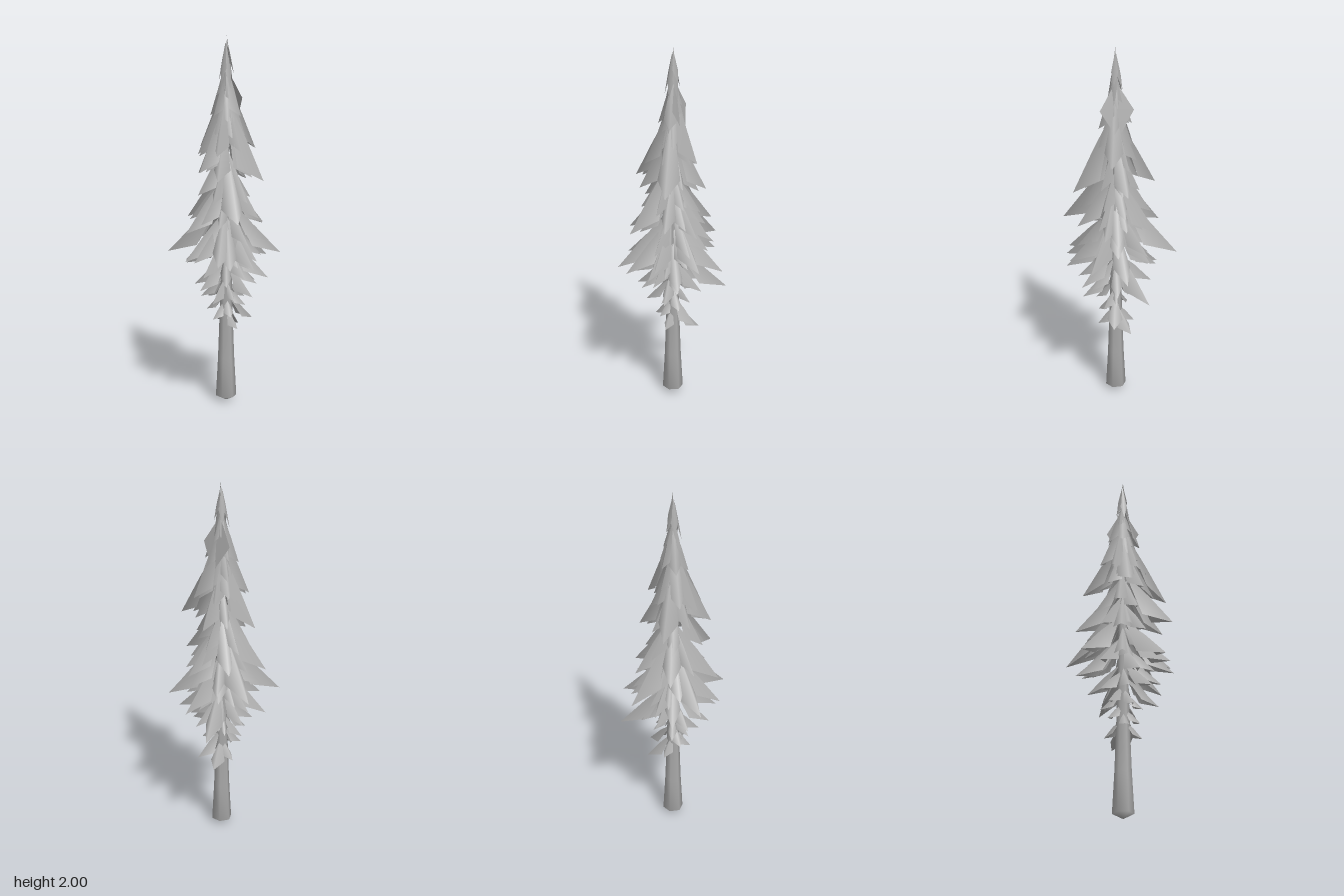
import * as THREE from 'three';
import { mergeVertices } from 'three/addons/utils/BufferGeometryUtils.js';

const AXIS = { x: -0.01, z: 0.02 };

// Small seeded generator for the irregular boughs
function seeded(seed) {
  return () => {
    seed = (seed * 16807) % 2147483647;
    return seed / 2147483647;
  };
}

// Folded kite: a ridge from root to tip, with two sides hanging below it.
// lift is the height of the side corners as a fraction from tip to root.
function bladeGeometry(root, tip, halfWidth, lift) {
  const along = tip.clone().sub(root);
  const out = new THREE.Vector3(along.x, 0, along.z).normalize();
  const side = new THREE.Vector3(-out.z, 0, out.x);
  const ridge = root.clone().addScaledVector(along, 0.5);
  ridge.y += 0.01;
  const low = root.clone().addScaledVector(along, 0.45);
  low.y = THREE.MathUtils.lerp(tip.y, root.y, lift);
  const left = low.clone().addScaledVector(side, halfWidth);
  const right = low.clone().addScaledVector(side, -halfWidth);
  const geo = new THREE.BufferGeometry().setFromPoints([root, tip, ridge, left, right]);
  geo.setIndex([0, 3, 2, 3, 1, 2, 0, 2, 4, 2, 1, 4]);
  geo.computeVertexNormals();
  return geo;
}

export function createModel() {
  const group = new THREE.Group();
  group.name = 'pineTree';
  const grey = new THREE.MeshStandardMaterial({ color: 0xaaaaaa, side: THREE.DoubleSide });
  grey.name = 'grey';
  const rand = seeded(4171);

  // Trunk: six-sided taper with a slightly pointed foot
  const profile = [[0, 0.005], [0.057, 0.032], [0.045, 0.25], [0.036, 0.5],
    [0.027, 0.85], [0.018, 1.3], [0.009, 1.7], [0, 1.97]].map(p => new THREE.Vector2(...p));
  const trunkGeo = new THREE.LatheGeometry(profile, 6);
  trunkGeo.deleteAttribute('uv');
  trunkGeo.deleteAttribute('normal');
  const smoothTrunk = mergeVertices(trunkGeo);
  smoothTrunk.computeVertexNormals();
  const trunk = new THREE.Mesh(smoothTrunk, grey);
  trunk.name = 'trunk';
  trunk.position.set(AXIS.x, 0, AXIS.z);
  group.add(trunk);

  const foliage = new THREE.Group();
  foliage.name = 'foliage';
  group.add(foliage);

  function addBlade(name, root, tip, halfWidth, lift = 0.16) {
    const mesh = new THREE.Mesh(bladeGeometry(root, tip, halfWidth, lift), grey);
    mesh.name = name;
    foliage.add(mesh);
  }

  // Boughs slope gently low on the tree and steeply near the crown
  function addBough(name, x, y, z, wide = 1) {
    const dx = x - AXIS.x, dz = z - AXIS.z, h = y - 0.8;
    const slope = Math.min(0.82 + 0.8 * h + 2 * h * h, 2.5);
    const rootY = Math.min(y + Math.hypot(dx, dz) * slope + 0.02, 1.97);
    const root = new THREE.Vector3(AXIS.x + dx * 0.06, rootY, AXIS.z + dz * 0.06);
    const tip = new THREE.Vector3(x, y, z);
    addBlade(name, root, tip, root.distanceTo(tip) * 0.115 * wide);
  }

  // Longest boughs, by tip position
  [
    [0.28, 0.79, 0.015], [0.22, 0.84, 0.2], [0.255, 0.65, -0.11], [0.12, 0.89, -0.29],
    [-0.24, 0.84, -0.2], [-0.28, 0.82, 0.015], [-0.27, 0.97, 0.01], [-0.235, 0.82, 0.24],
    [-0.035, 0.79, 0.29], [-0.14, 1.04, 0.285], [-0.005, 0.83, 0.275], [-0.175, 0.8, 0.265],
    [0.11, 0.72, 0.23], [0.05, 1.25, 0.26], [0.22, 0.98, 0.05], [0.17, 1.24, -0.01],
    [0.18, 0.86, -0.13], [0.14, 1.02, -0.17], [-0.09, 0.75, -0.23], [-0.08, 1.01, -0.235],
    [-0.03, 1.25, -0.2], [0.02, 0.78, -0.2], [-0.23, 0.74, 0.105], [-0.21, 1.29, 0.05],
    [0.15, 1.4, 0.07], [-0.16, 1.38, -0.03], [0.02, 0.62, 0.21], [0.17, 1.0, 0.115],
  ].forEach(([x, y, z]) => addBough('longBough', x, y, z, 1.1));

  // Filler tiers: [tip height, reach, count]
  [
    [1.68, 0.055, 4], [1.57, 0.085, 6], [1.48, 0.11, 6], [1.39, 0.135, 7],
    [1.26, 0.16, 8], [1.13, 0.17, 7], [1.02, 0.2, 8], [0.9, 0.205, 8], [0.8, 0.21, 8],
    [0.69, 0.18, 8], [0.61, 0.135, 6],
  ].forEach(([y, reach, count], tier) => {
    for (let i = 0; i < count; i++) {
      const a = ((i + 0.6 * rand()) / count) * Math.PI * 2 + tier * 1.9;
      const r = reach * (0.76 + 0.4 * rand());
      addBough('bough', AXIS.x + r * Math.cos(a), y + 0.07 * (rand() - 0.5),
        AXIS.z + r * Math.sin(a), 0.8 + 0.5 * rand());
    }
  });

  // Broad upper bough facing the left side
  addBlade('broadBough', new THREE.Vector3(0, 1.82, 0.02), new THREE.Vector3(0.06, 1.53, 0.02), 0.09, 0.5);

  // Small sparse sprigs under the crown
  [
    [0.14, 0.46, 0.06], [-0.11, 0.48, 0.03], [0.12, 0.41, -0.04], [-0.01, 0.43, 0.12],
    [-0.05, 0.5, 0.11], [0.01, 0.44, -0.08], [-0.08, 0.52, -0.06], [0.06, 0.55, 0.1],
  ].forEach(([x, y, z]) => addBough('sprig', x, y, z, 1.8));

  // Leader shoots around the top
  for (let i = 0; i < 6; i++) {
    const a = i * 1.257 + 0.4;
    const at = (r, y) => new THREE.Vector3(AXIS.x + r * Math.cos(a), y, AXIS.z + r * Math.sin(a));
    addBlade('leaderShoot', at(0.003, i ? 1.94 + 0.008 * i : 2), at(0.042, 1.7 + 0.02 * i), 0.018, 0.4);
  }
  return group;
}
